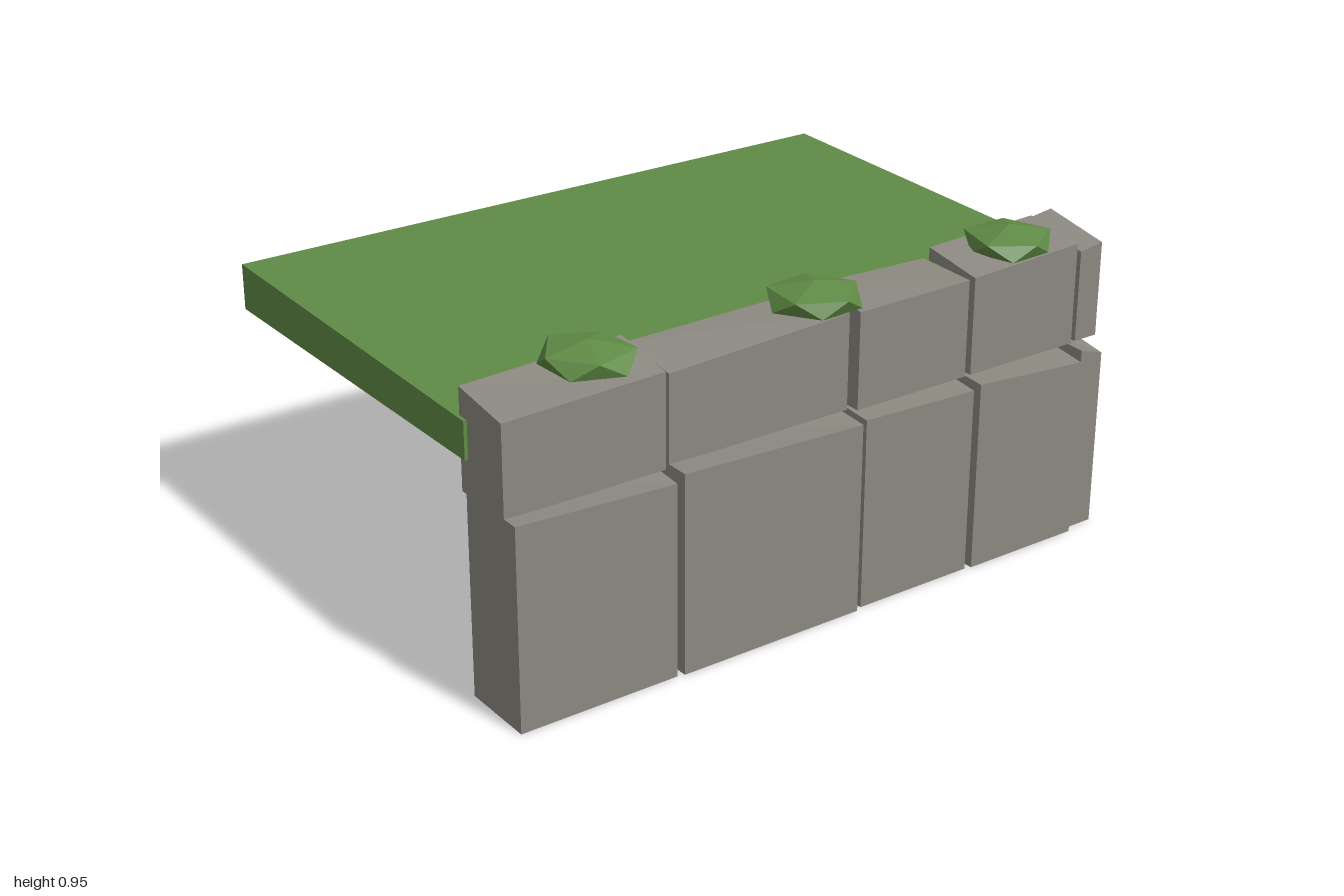
import * as THREE from 'three';

const stone = new THREE.MeshStandardMaterial({ color: 0x8b8880, flatShading: true });
const grass = new THREE.MeshStandardMaterial({ color: 0x5f8a45, flatShading: true });

// Box whose four top corners have their own heights:
// [inner front, inner back, outer front, outer back]
function block(name, material, x0, x1, z0, z1, y0, tops) {
  const geo = new THREE.BoxGeometry(1, 1, 1);
  const p = geo.attributes.position;
  for (let i = 0; i < p.count; i++) {
    const outer = p.getX(i) > 0, front = p.getZ(i) > 0;
    const top = tops[(outer ? 2 : 0) + (front ? 0 : 1)];
    p.setXYZ(i, outer ? x1 : x0, p.getY(i) > 0 ? top : y0, front ? z1 : z0);
  }
  geo.computeVertexNormals();
  const mesh = new THREE.Mesh(geo, material);
  mesh.name = name;
  return mesh;
}

// Flattened icosahedron with one corner pointing up and slightly uneven corners
function bush(x, y, z, turn, seed) {
  const geo = new THREE.IcosahedronGeometry(1, 0);
  geo.rotateZ(Math.atan(2 / (1 + Math.sqrt(5))));
  const p = geo.attributes.position;
  const v = new THREE.Vector3();
  for (let i = 0; i < p.count; i++) {
    v.fromBufferAttribute(p, i);
    const n = Math.sin(Math.round(v.x * 50) * 1.3 + Math.round(v.y * 50) * 2.1 + Math.round(v.z * 50) * 0.7 + seed);
    v.multiplyScalar(1 + 0.07 * n);
    p.setXYZ(i, v.x * 0.134, v.y * 0.048, v.z * 0.134);
  }
  geo.computeVertexNormals();
  const mesh = new THREE.Mesh(geo, grass);
  mesh.position.set(x, y, z);
  mesh.rotation.y = turn;
  mesh.name = 'bush';
  return mesh;
}

export function createModel() {
  const group = new THREE.Group();

  // Grassy ground slab, sloping gently down to the wall
  group.add(block('groundSlab', grass, -0.71, 0.49, -1, 1, 0.68, [0.815, 0.815, 0.787, 0.787]));

  // Wall columns: a wide lower stone and a set-back upper stone each
  const columns = [
    { z: [0.51, 0.99], low: [0.475, 0.70], lowTop: [0.585, 0.58, 0.583, 0.56], up: [0.455, 0.65], upTop: [0.866, 0.882, 0.838, 0.85] },
    { z: [-0.09, 0.49], low: [0.46, 0.705], lowTop: [0.585, 0.578, 0.583, 0.562], up: [0.455, 0.635], upTop: [0.86, 0.866, 0.834, 0.858] },
    { z: [-0.49, -0.11], low: [0.475, 0.695], lowTop: [0.58, 0.575, 0.565, 0.552], up: [0.465, 0.655], upTop: [0.88, 0.868, 0.862, 0.864] },
    { z: [-0.89, -0.51], low: [0.47, 0.70], lowTop: [0.58, 0.567, 0.566, 0.537], up: [0.465, 0.655], upTop: [0.896, 0.908, 0.865, 0.88] },
    { z: [-0.99, -0.91], low: [0.455, 0.68], lowTop: [0.567, 0.573, 0.56, 0.535], up: [0.44, 0.65], upTop: [0.89, 0.90, 0.85, 0.862] },
  ];
  for (const c of columns) {
    group.add(block('lowerStone', stone, ...c.low, ...c.z, 0, c.lowTop));
    group.add(block('upperStone', stone, ...c.up, ...c.z, 0.58, c.upTop));
  }

  // Bushes along the top of the wall
  group.add(bush(0.56, 0.905, 0.68, 0.3, 1));
  group.add(bush(0.57, 0.898, -0.02, 0.8, 2));
  group.add(bush(0.565, 0.9, -0.71, 1.9, 3));

  return group;
}
